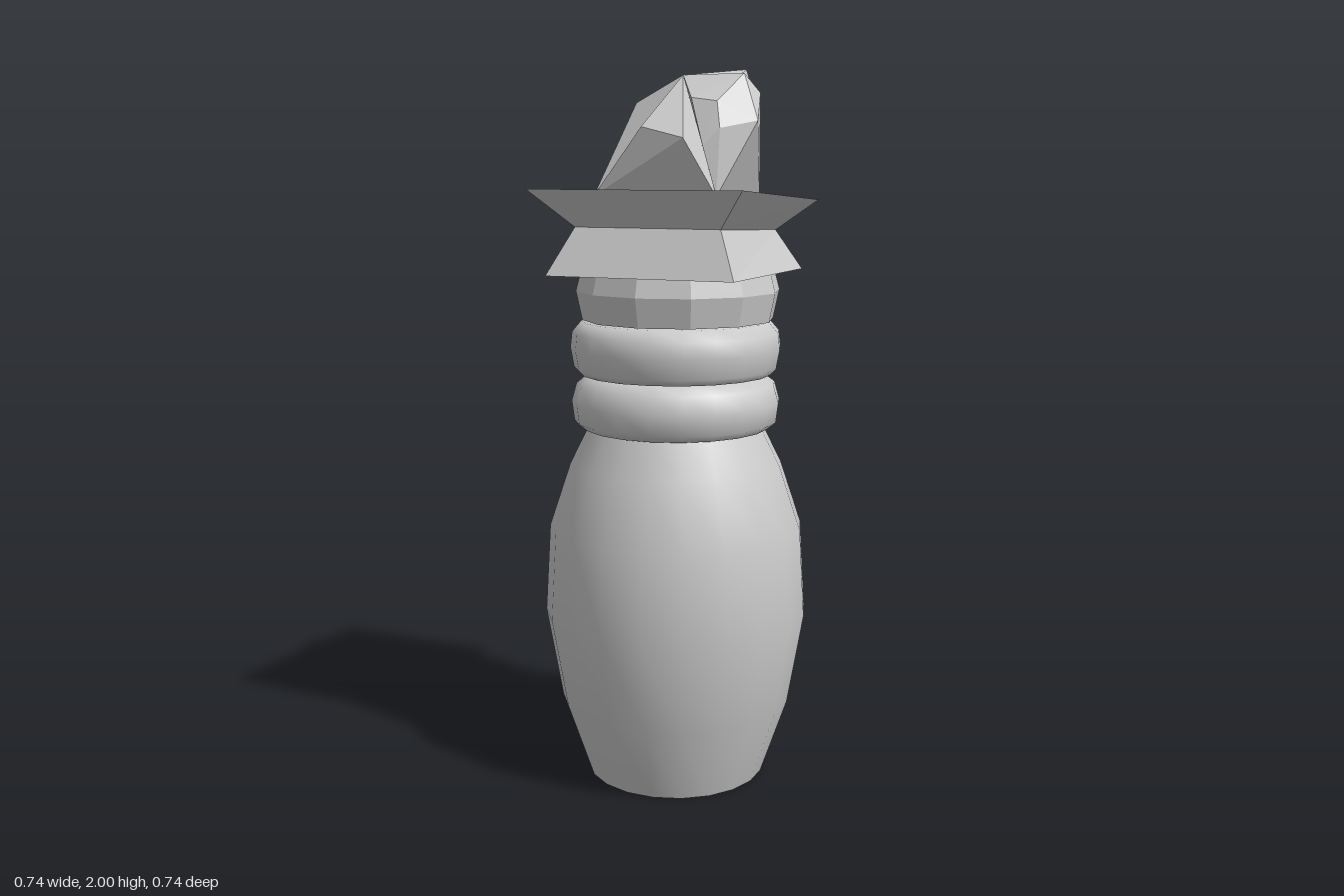
import * as THREE from 'three';
import { ConvexGeometry } from 'three/addons/geometries/ConvexGeometry.js';

const smooth = new THREE.MeshStandardMaterial({ color: 0xcccccc, side: THREE.DoubleSide });
const faceted = new THREE.MeshStandardMaterial({ color: 0xcccccc, flatShading: true, side: THREE.DoubleSide });

export function createModel() {
  const model = new THREE.Group();

  function add(name, geometry, material, parent = model) {
    const mesh = new THREE.Mesh(geometry, material);
    mesh.name = name;
    parent.add(mesh);
    return mesh;
  }

  // Revolved part from [radius, height] pairs, lowest first
  function turned(name, profile, sides, material, turn = 0) {
    const points = profile.map(([r, y]) => new THREE.Vector2(r, y));
    return add(name, new THREE.LatheGeometry(points, sides).rotateY(turn), material);
  }

  // Square block with different widths at each end; ends slope along z
  function squareBlock(name, bottom, top) {
    const g = new THREE.CylinderGeometry(top.half * Math.SQRT2, bottom.half * Math.SQRT2, 1, 4).rotateY(Math.PI / 4);
    const p = g.attributes.position;
    for (let i = 0; i < p.count; i++) {
      const end = p.getY(i) > 0 ? top : bottom;
      p.setY(i, end.y + end.slope * p.getZ(i));
    }
    add(name, g, faceted).position.set(0.015, 0, 0.02);
  }

  // Barrel-shaped body with a flat base
  turned('body', [[0.255, 0], [0.33, 0.22], [0.375, 0.48], [0.36, 0.73], [0.3, 0.91], [0.25, 1.01], [0.23, 1.06]],
    20, smooth, Math.PI / 20);
  add('base', new THREE.CircleGeometry(0.255, 20).rotateX(Math.PI / 2).rotateY(Math.PI / 20), faceted);

  // Two rounded neck rings
  turned('lowerNeckRing', [[0.22, 1.01], [0.262, 1.015], [0.287, 1.035], [0.294, 1.09], [0.28, 1.14], [0.245, 1.165], [0.2, 1.17]],
    20, smooth, Math.PI / 20);
  turned('upperNeckRing', [[0.2, 1.168], [0.27, 1.168], [0.286, 1.185], [0.296, 1.24], [0.291, 1.285], [0.265, 1.315], [0.2, 1.325]],
    20, smooth, Math.PI / 20);

  // Faceted collar
  turned('collar', [[0.2, 1.32], [0.268, 1.32], [0.285, 1.4], [0.272, 1.45], [0, 1.45]], 12, faceted)
    .position.set(0.012, 0, 0.01);

  // Square capital pinched at the waist, its top leaning backwards
  const waist = { half: 0.21, y: 1.57, slope: 0.04 };
  squareBlock('capitalFoot', { half: 0.27, y: 1.45, slope: 0 }, waist);
  squareBlock('capitalPlate', waist, { half: 0.305, y: 1.662, slope: 0.057 });

  // Crystal finial: four lobes spring from a square foot and share one apex
  const apex = [0.03, 1.98, 0.02];
  const corners = [[-0.165, 1.66, 0.175], [0.19, 1.66, 0.175], [0.19, 1.65, -0.15], [-0.16, 1.65, -0.15]];
  const lobes = [
    ['frontLobe', [[-0.015, 1.84, 0.195], [0.12, 1.81, 0.232], [-0.07, 1.79, 0.12]]],
    ['rightLobe', [[0.21, 1.98, 0.03], [0.242, 1.93, -0.008], [0.272, 1.855, 0.09],
      [0.1, 1.915, 0.13], [0.175, 1.905, 0.135], [0.195, 1.835, 0.165], [0.155, 1.79, 0.185]]],
    ['backLobe', [[-0.082, 1.81, -0.245], [0.018, 1.99, -0.155], [0.155, 2, -0.13], [0.165, 1.98, -0.055],
      [0.173, 1.93, -0.15], [0.19, 1.87, -0.09], [0.075, 1.83, -0.215]]],
    ['leftLobe', [[-0.12, 1.91, -0.003], [-0.175, 1.81, -0.06], [-0.142, 1.83, -0.143], [-0.147, 1.81, 0.03]]],
  ];
  const finial = new THREE.Group();
  finial.name = 'crystalFinial';
  model.add(finial);
  const hull = (points) => new ConvexGeometry(points.map((p) => new THREE.Vector3(...p)));
  add('finialCore', hull([apex, ...corners]), faceted, finial);
  lobes.forEach(([name, points], i) => {
    add(name, hull([apex, corners[i], corners[(i + 1) % 4], ...points]), faceted, finial);
  });

  return model;
}
